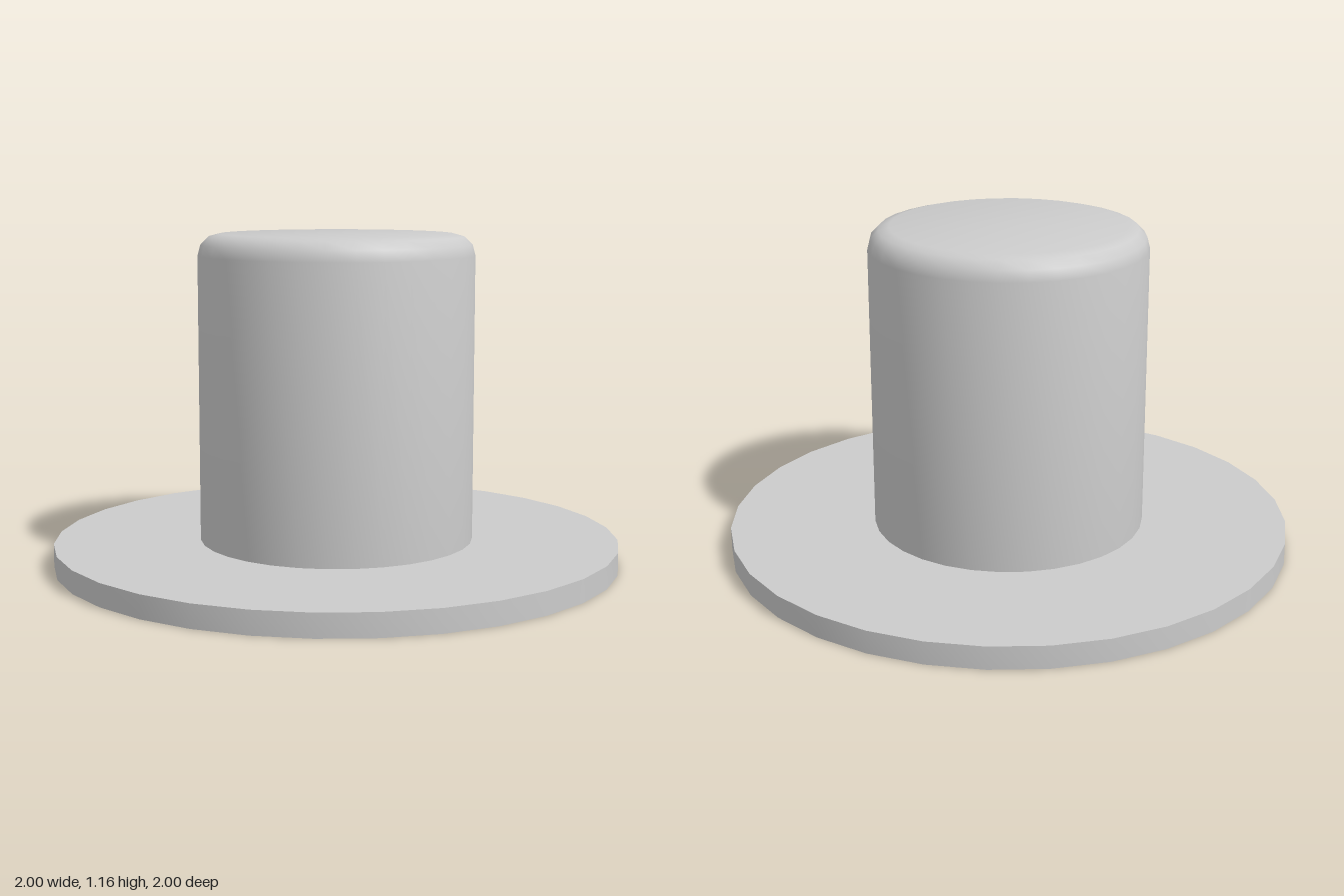
import * as THREE from 'three';
import { toCreasedNormals } from 'three/addons/utils/BufferGeometryUtils.js';

const SIDES = 32;
const OUTER = 0.485, INNER = 0.42, HEIGHT = 1.16, BRIM = 0.08, BEVEL = 0.075;

export function createModel() {
  const group = new THREE.Group();
  const material = new THREE.MeshStandardMaterial({ color: 0xcccccc });

  // Turns a profile of [radius, height] pairs around the vertical axis
  const turn = (name, profile) => {
    const points = profile.map(([r, y]) => new THREE.Vector2(r, y));
    const geometry = toCreasedNormals(new THREE.LatheGeometry(points, SIDES), 0.6);
    const mesh = new THREE.Mesh(geometry, material);
    mesh.name = name;
    group.add(mesh);
  };

  // Flat ring brim, open in the middle
  turn('brim', [[INNER, 0], [1, 0], [1, BRIM], [OUTER, BRIM]]);

  // Crown wall, rounded shoulder and flat top
  const shoulder = [];
  for (let i = 0; i <= 3; i++) {
    const a = (i / 3) * Math.PI / 2;
    shoulder.push([OUTER - BEVEL + BEVEL * Math.cos(a), HEIGHT - BEVEL + BEVEL * Math.sin(a)]);
  }
  turn('crown', [[OUTER, BRIM], ...shoulder, [0, HEIGHT]]);

  // Hollow inside of the crown
  turn('crownInside', [[0, HEIGHT - BRIM], [INNER, HEIGHT - BRIM], [INNER, 0]]);

  return group;
}
